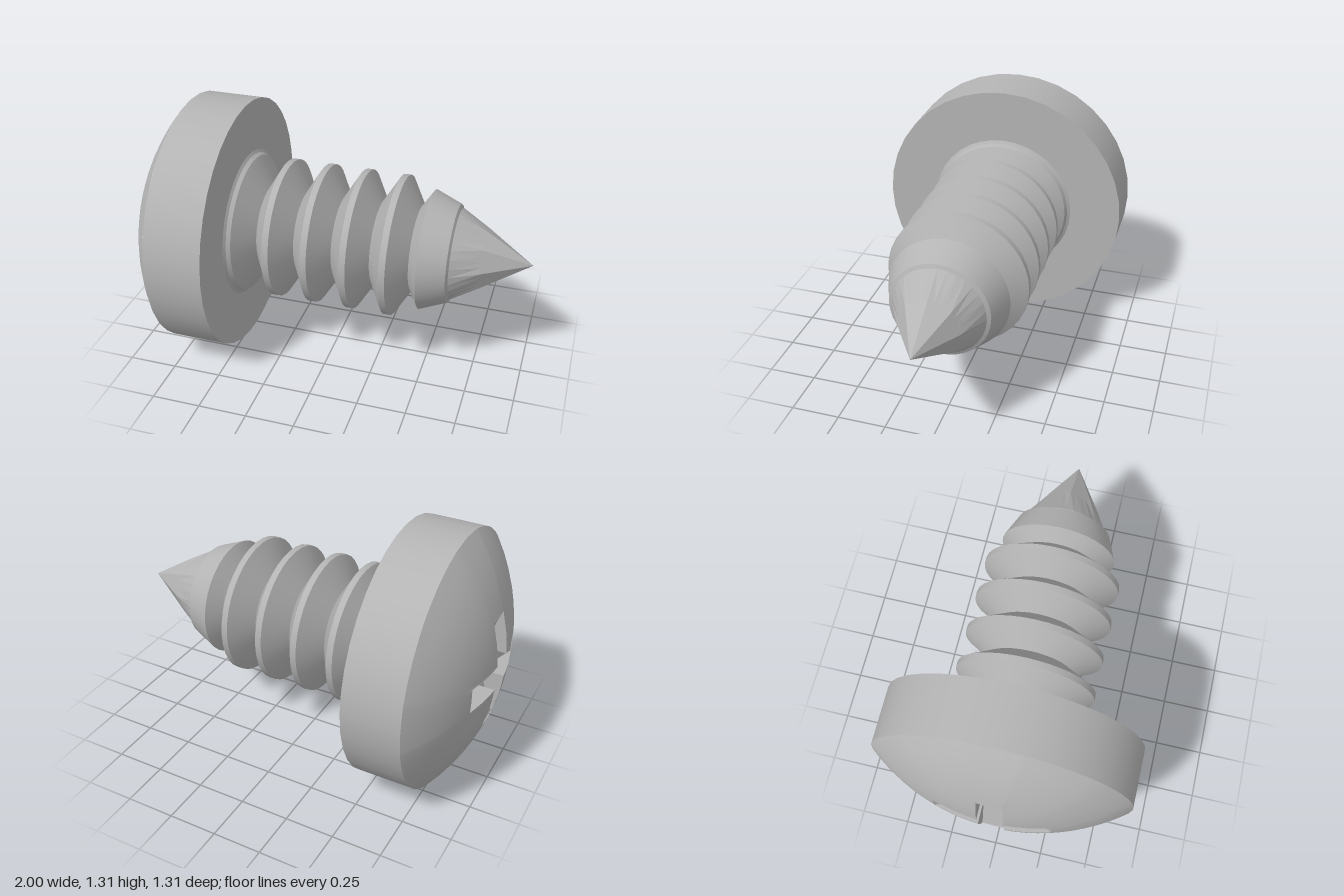
import * as THREE from 'three';
import { mergeGeometries } from 'three/addons/utils/BufferGeometryUtils.js';

const AXIS_Y = 0.655, HEAD_R = 0.655, SEGMENTS = 36;
const ARM_LENGTH = 0.29, ARM_HALF = 0.065;

// Turned surface along +x from [x, radius] points, with a crease at every point
function turned(points) {
  const bands = [];
  for (let i = 0; i < points.length - 1; i++) {
    const pair = [points[i], points[i + 1]].map(([x, r]) => new THREE.Vector2(r, x));
    bands.push(new THREE.LatheGeometry(pair, SEGMENTS));
  }
  return mergeGeometries(bands).rotateZ(-Math.PI / 2);
}

function surface(positions, index, flat) {
  let g = new THREE.BufferGeometry();
  g.setAttribute('position', new THREE.Float32BufferAttribute(positions, 3));
  g.setIndex(index);
  if (flat) g = g.toNonIndexed();
  g.computeVertexNormals();
  return g;
}

const polar = (x, r, a) => [x, r * Math.cos(a), r * Math.sin(a)];

// Angles around the head, including every corner of the cross
function headAngles() {
  const angles = [];
  for (let i = 0; i < SEGMENTS; i++) angles.push((i * 2 * Math.PI) / SEGMENTS);
  const corner = Math.atan2(ARM_HALF, ARM_LENGTH);
  for (let q = 0; q < 4; q++) {
    for (const a of [corner, Math.PI / 4, Math.PI / 2 - corner]) angles.push(a + (q * Math.PI) / 2);
  }
  return angles.sort((a, b) => a - b);
}

// Distance from the axis to the cross outline
function crossRadius(a) {
  const c = Math.abs(Math.cos(a)), s = Math.abs(Math.sin(a));
  return Math.min(ARM_LENGTH / Math.max(c, s), ARM_HALF / Math.max(1e-6, Math.min(c, s)));
}

function domeX(r) {
  const R = 1.05;
  return -1.003 + R - Math.sqrt(R * R - r * r);
}

// Domed cap running from the cross outline out to the rim
function domeGeometry(angles) {
  const rings = 8, n = angles.length, pos = [], idx = [];
  for (let j = 0; j <= rings; j++) {
    for (const a of angles) {
      const r = THREE.MathUtils.lerp(crossRadius(a), HEAD_R, j / rings);
      pos.push(...polar(domeX(r), r, a));
    }
  }
  for (let j = 0; j < rings; j++) {
    for (let i = 0; i < n; i++) {
      const k = (i + 1) % n, a = j * n + i, b = j * n + k;
      idx.push(a, b, a + n, b, b + n, a + n);
    }
  }
  return surface(pos, idx, false);
}

// Cross recess: straight walls and floors sloping down to the centre
function recessGeometry(angles) {
  const n = angles.length, pos = [], idx = [], deep = -0.86, shallow = -0.957;
  for (const a of angles) {
    const r = crossRadius(a);
    pos.push(...polar(domeX(r), r, a));
  }
  for (const a of angles) {
    const r = crossRadius(a);
    const reach = r * Math.max(Math.abs(Math.cos(a)), Math.abs(Math.sin(a)));
    pos.push(...polar(THREE.MathUtils.lerp(deep, shallow, reach / ARM_LENGTH), r, a));
  }
  pos.push(deep, 0, 0);
  for (let i = 0; i < n; i++) {
    const k = (i + 1) % n;
    idx.push(i, n + i, k, k, n + i, n + k);
    idx.push(2 * n, n + k, n + i);
  }
  return surface(pos, idx, true);
}

// Point: round base blending through an octagon to a sharp tip
function tipGeometry() {
  const n = 32, pos = [], idx = [];
  for (let i = 0; i < n; i++) pos.push(...polar(0.62, 0.232, (i * 2 * Math.PI) / n));
  for (let i = 0; i < n; i++) {
    const a = (i * 2 * Math.PI) / n, sector = Math.PI / 4;
    const off = (a % sector) - sector / 2;
    pos.push(...polar(0.76, (0.155 * Math.cos(sector / 2)) / Math.cos(off), a));
  }
  pos.push(1, 0, 0);
  for (let i = 0; i < n; i++) {
    const k = (i + 1) % n;
    idx.push(i, k, n + i, k, n + k, n + i);
    idx.push(n + i, n + k, 2 * n);
  }
  return surface(pos, idx, true);
}

export function createModel() {
  const group = new THREE.Group();
  group.name = 'screw';
  const steel = new THREE.MeshStandardMaterial({ name: 'steel grey', color: 0xb4b4b4 });
  const add = (name, geometry) => {
    const mesh = new THREE.Mesh(geometry, steel);
    mesh.name = name;
    mesh.position.y = AXIS_Y;
    group.add(mesh);
  };

  // Head
  const angles = headAngles();
  add('headDome', domeGeometry(angles));
  add('crossRecess', recessGeometry(angles));
  add('headRim', turned([[domeX(HEAD_R), HEAD_R], [-0.48, HEAD_R], [-0.48, 0.3]]));

  // Fillet under the head and the threaded shank
  const profile = [[-0.48, 0.385], [-0.47, 0.37], [-0.45, 0.36], [-0.367, 0.22]];
  for (let i = 0; i < 4; i++) {
    const x = -0.285 + i * 0.197;
    profile.push([x, 0.36], [x + 0.032, 0.36], [x + 0.115, 0.22]);
  }
  profile.push([0.475, 0.305], [0.61, 0.25], [0.62, 0.23]);
  add('threadedShank', turned(profile));

  add('tip', tipGeometry());
  return group;
}
